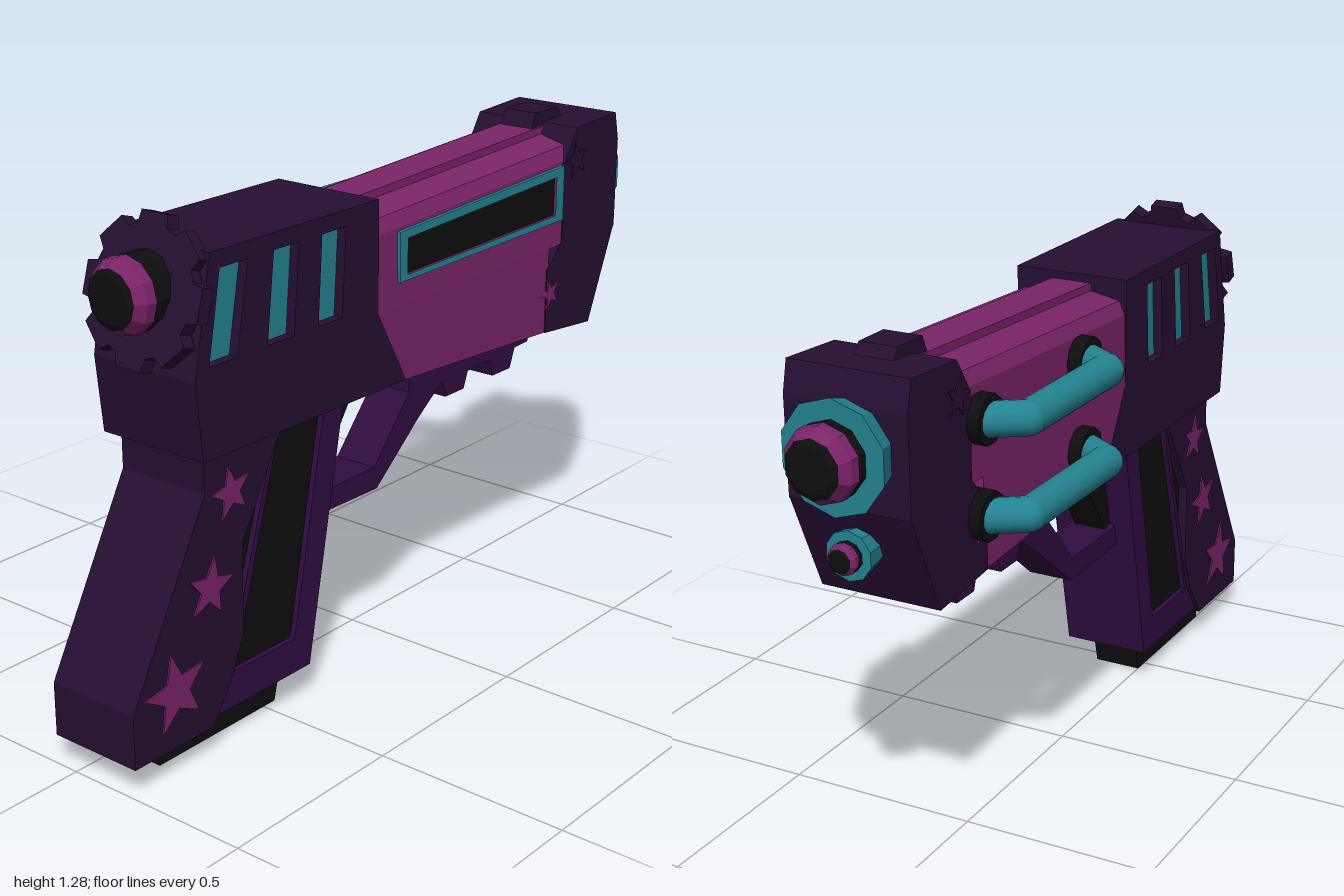
import * as THREE from 'three';

const CX = 0.065; // centre plane of the body

export function createModel() {
  const root = new THREE.Group();
  const mat = (name, color) => Object.assign(new THREE.MeshStandardMaterial({ color }), { name });
  const dark = mat('dark violet', 0x260f33);
  const purple = mat('purple', 0x310d42);
  const pink = mat('magenta', 0x7a2468);
  const teal = mat('teal', 0x248391);
  const black = mat('black', 0x0e0e0e);

  const add = (name, geo, m, parent = root) => {
    const mesh = new THREE.Mesh(geo, m);
    mesh.name = name;
    parent.add(mesh);
    return mesh;
  };
  const toShape = (pts) => new THREE.Shape(pts.map(([a, b]) => new THREE.Vector2(a, b)));

  // side profile of [z, y] points, extruded from x0 to x1
  const slab = (pts, x0, x1, holes = []) => {
    const s = toShape(pts);
    holes.forEach((h) => s.holes.push(toShape(h)));
    return new THREE.ExtrudeGeometry(s, { depth: x1 - x0, bevelEnabled: false })
      .rotateY(-Math.PI / 2).translate(x1, 0, 0);
  };
  const starPoints = (z, y, r, turn) => Array.from({ length: 10 }, (_, i) => {
    const a = turn + i * Math.PI / 5, q = i % 2 ? r * 0.42 : r;
    return [z + q * Math.sin(a), y + q * Math.cos(a)];
  });

  // Rear housing: core, with side plates cut by slanted vents
  const rear = [[0.745, 1.22], [0.8, 0.94], [0.78, 0.75], [0.06, 0.745], [0.17, 0.94], [0.17, 1.22]];
  const vents = [
    [[0.715, 1.18], [0.625, 1.18], [0.665, 0.965], [0.755, 0.965]],
    [[0.54, 1.18], [0.455, 1.18], [0.475, 0.965], [0.565, 0.965]],
    [[0.375, 1.18], [0.29, 1.18], [0.305, 0.965], [0.39, 0.965]],
  ];
  add('rearHousing', slab(rear, -0.06, 0.19), dark);
  for (const [x0, x1, t0, t1] of [[0.19, 0.22, 0.19, 0.195], [-0.09, -0.06, -0.065, -0.06]]) {
    add('rearSidePlate', slab(rear, x0, x1, vents), dark);
    vents.forEach((v) => add('ventInlay', slab(v, t0, t1), teal));
  }

  // Upper slide with a raised rib, rising slightly towards the muzzle
  const section = toShape([[-0.09, 0.94], [0.22, 0.94], [0.216, 1.13], [0.2, 1.165], [0.12, 1.18], [0.12, 1.2],
    [0.01, 1.2], [0.01, 1.18], [-0.07, 1.165], [-0.086, 1.13]]);
  const slide = new THREE.ExtrudeGeometry(section, { depth: 0.83, bevelEnabled: false }).translate(0, 0, -0.66);
  const p = slide.attributes.position;
  for (let i = 0; i < p.count; i++) {
    if (p.getY(i) > 1) p.setY(i, p.getY(i) + (0.17 - p.getZ(i)) * 0.045);
  }
  slide.computeVertexNormals();
  add('slide', slide, pink);
  add('lowerFrame', slab([[0.17, 0.94], [0.06, 0.745], [-0.55, 0.71], [-0.55, 0.94]], -0.089, 0.219), pink);

  // Muzzle block
  add('muzzleBlock', slab([[-0.605, 0.94], [-0.605, 1.16], [-0.66, 1.245], [-0.845, 1.255], [-0.862, 1.18],
    [-0.86, 0.94]], -0.092, 0.222), dark);
  add('muzzleLowerBlock', slab([[-0.6, 0.945], [-0.86, 0.945], [-0.75, 0.69], [-0.54, 0.71], [-0.54, 0.88]],
    -0.092, 0.222), dark);
  add('frontSight', slab([[-0.605, 1.23], [-0.625, 1.275], [-0.725, 1.275], [-0.75, 1.24]], 0.015, 0.115), dark);
  for (const [x0, x1] of [[0.214, 0.226], [-0.096, -0.086]]) {
    add('darkStar', slab(starPoints(-0.66, 1.16, 0.05, 0.2), x0, x1), dark);
    add('pinkStar', slab(starPoints(-0.555, 0.815, 0.04, 0.3), x0, x1), pink);
  }

  // Side window on the left
  const frame = [[0.095, 1.125], [0.095, 1.0], [-0.6, 1.01], [-0.6, 1.155]];
  const opening = [[0.065, 1.105], [0.065, 1.015], [-0.565, 1.028], [-0.565, 1.13]];
  add('windowFrame', slab(frame, 0.21, 0.226, [opening]), teal);
  add('windowPane', slab(opening, 0.21, 0.22), black);

  // Round parts: stacked rings [rBack, rFront, zBack, zFront, material], facing +z
  const rings = (name, list, sides = 12) => {
    const g = new THREE.Group();
    g.name = name;
    for (const [r0, r1, z0, z1, m] of list) {
      const geo = new THREE.CylinderGeometry(r1, r0, z1 - z0, sides).rotateX(Math.PI / 2)
        .translate(0, 0, (z0 + z1) / 2).toNonIndexed();
      geo.computeVertexNormals();
      add(name + 'Ring', geo, m, g);
    }
    root.add(g);
    return g;
  };
  const knob = (s, z) => [
    [0.088 * s, 0.088 * s, z - 0.04 * s, z + 0.03 * s, black],
    [0.09 * s, 0.088 * s, z + 0.03 * s, z + 0.055 * s, pink],
    [0.088 * s, 0.07 * s, z + 0.055 * s, z + 0.08 * s, pink],
    [0.07 * s, 0.055 * s, z + 0.08 * s, z + 0.088 * s, black],
  ];
  rings('rearKnob', knob(1, 0.81)).position.set(CX, 1.12, 0);
  const muzzle = rings('muzzle', [[0.115, 0.135, 0.85, 0.915, teal], ...knob(1, 0.912)], 10);
  muzzle.position.set(CX, 1.075, 0);
  const emitter = rings('lowerEmitter', [[0.045, 0.06, 0.78, 0.87, teal], ...knob(0.42, 0.873)], 10);
  emitter.position.set(CX, 0.835, 0);
  muzzle.rotation.y = emitter.rotation.y = Math.PI;

  // Toothed plate behind the rear knob
  const teeth = [];
  for (let i = 0; i < 8; i++) {
    for (const [d, r] of [[-0.3, 0.15], [-0.22, 0.178], [0.22, 0.178], [0.3, 0.15]]) {
      const a = i * Math.PI / 4 + d;
      teeth.push([r * Math.sin(a), r * Math.cos(a)]);
    }
  }
  const plate = add('toothedPlate', new THREE.ExtrudeGeometry(toShape(teeth), { depth: 0.035, bevelEnabled: false }), dark);
  plate.position.set(CX, 1.108, 0.765);
  plate.rotation.x = -0.29;

  // Grip: dark back, purple front frame, black inset panel
  add('gripBack', slab([[0.755, 0.76], [0.755, 0.66], [1, 0.21], [1, 0.075], [0.745, 0.075], [0.675, 0.18],
    [0.635, 0.28], [0.635, 0.5], [0.485, 0.76]], -0.06, 0.195), dark);
  add('gripFrame', slab([[0.5, 0.76], [0.255, 0.76], [0.39, 0.09], [0.75, 0.09], [0.68, 0.18]], -0.05, 0.185,
    [[[0.49, 0.745], [0.33, 0.745], [0.445, 0.18], [0.66, 0.18]]]), purple);
  add('gripPanel', slab([[0.64, 0.755], [0.32, 0.755], [0.43, 0.17], [0.72, 0.17]], -0.035, 0.17), black);
  add('magazine', slab([[0.855, 0.1], [0.86, 0], [0.46, 0], [0.435, 0.1]], 0, 0.13), black);
  for (const [z, y, r, t] of [[0.67, 0.64, 0.066, 0.15], [0.745, 0.43, 0.076, -0.2], [0.865, 0.215, 0.1, 0.15]]) {
    const s = starPoints(z, y, r, t);
    add('gripStar', slab(s, 0.192, 0.199), pink);
    add('gripStar', slab(s, -0.064, -0.057), pink);
  }

  // Trigger guard, rail bumps and trigger
  add('triggerGuard', slab([[0.32, 0.5], [0.33, 0.435], [0.055, 0.43], [-0.115, 0.57], [-0.205, 0.635], [-0.6, 0.65],
    [-0.63, 0.72], [-0.075, 0.76], [-0.075, 0.65], [0.065, 0.49], [0.29, 0.49]], 0.005, 0.125), purple);
  for (const z of [-0.27, -0.48]) {
    add('railBump', slab([[z + 0.06, 0.66], [z + 0.04, 0.595], [z - 0.04, 0.595], [z - 0.065, 0.66]], 0.005, 0.125), purple);
  }
  add('trigger', slab([[0.27, 0.755], [0.1, 0.755], [0.28, 0.49], [0.31, 0.49]], 0.02, 0.11), black);

  // Two bent pipes with round mounts on the right side
  for (const y of [1.085, 0.855]) {
    const path = [[-0.1, -0.575], [-0.187, -0.515], [-0.187, -0.13], [-0.1, -0.075]]
      .map(([x, z]) => new THREE.Vector3(x, y, z));
    for (let i = 0; i < 3; i++) {
      const line = new THREE.LineCurve3(path[i], path[i + 1]);
      add('pipe', new THREE.TubeGeometry(line, 1, 0.042, 14), teal);
    }
    for (const joint of [path[1], path[2]]) {
      add('pipeElbow', new THREE.SphereGeometry(0.042, 14, 10), teal).position.copy(joint);
    }
    for (const z of [-0.567, -0.083]) {
      add('pipeMount', new THREE.CylinderGeometry(0.06, 0.06, 0.05, 10).rotateZ(Math.PI / 2), black)
        .position.set(-0.098, y, z);
    }
  }
  return root;
}
